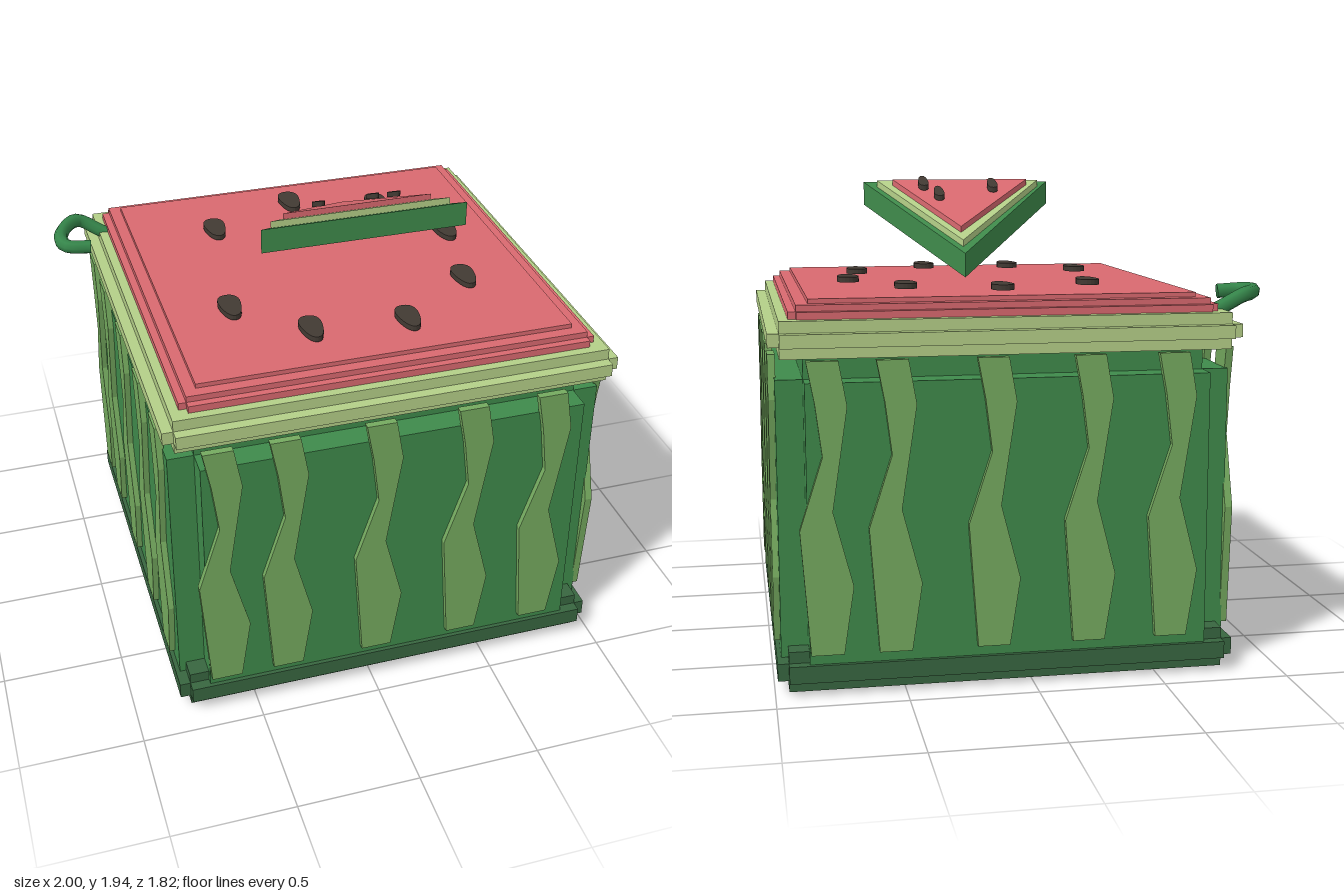
import * as THREE from 'three';

const mat = (name, color, flat = true) => {
  const m = new THREE.MeshStandardMaterial({ color });
  m.name = name;
  return m;
};

export function createModel() {
  const rindGreen = mat('rind green', 0x3f8a4b);
  const darkGreen = mat('dark base green', 0x386640);
  const stripeGreen = mat('stripe green', 0x75aa5f);
  const paleRind = mat('pale rind', 0xb4cf88);
  const fleshRed = mat('flesh red', 0xd9696f);
  const seedBrown = mat('seed brown', 0x423a33);
  const vineGreen = mat('vine green', 0x35854a);

  const root = new THREE.Group();
  root.name = 'melonCrate';
  const CX = 0.0875; // crate centre in x

  const add = (parent, name, geometry, material) => {
    const mesh = new THREE.Mesh(geometry, material);
    mesh.name = name;
    parent.add(mesh);
    return mesh;
  };

  // Box with notched edges: three crossing boxes, each long along one axis
  function notchedBox(name, half, y0, y1, inset, insetY, material) {
    const group = new THREE.Group();
    group.name = name;
    const small = 2 * (half - inset), big = 2 * half, h = y1 - y0;
    [[big, h - 2 * insetY, small], [small, h, small], [small, h - 2 * insetY, big]].forEach((s, i) =>
      add(group, name + ['Wide', 'Tall', 'Deep'][i], new THREE.BoxGeometry(...s), material));
    group.position.set(CX, (y0 + y1) / 2, 0);
    root.add(group);
  }
  notchedBox('body', 0.885, 0, 1.29, 0.105, 0.085, rindGreen);
  notchedBox('base', 0.902, 0.01, 0.168, 0.043, 0.045, darkGreen);
  notchedBox('rim', 0.912, 1.293, 1.435, 0.043, 0.045, paleRind);
  notchedBox('flesh', 0.832, 1.40, 1.487, 0.03, 0.024, fleshRed);
  add(root, 'fleshTop', new THREE.BoxGeometry(1.51, 0.04, 1.51), fleshRed).position.set(CX, 1.485, 0);

  // Zigzag stripes, the same set on each of the four sides
  const stripeShape = new THREE.Shape([
    [-0.06, 1.29], [-0.03, 1.13], [-0.005, 0.93], [-0.095, 0.65], [-0.06, 0.165],
    [0.065, 0.165], [0.105, 0.43], [0.03, 0.72], [0.09, 1.12], [0.06, 1.29],
  ].map(([x, y]) => new THREE.Vector2(x, y)));
  const stripeGeometry = new THREE.ExtrudeGeometry(stripeShape, { depth: 0.03, bevelEnabled: false });
  for (let side = 0; side < 4; side++) {
    const group = new THREE.Group();
    group.name = 'stripes' + side;
    group.position.x = CX;
    group.rotation.y = side * Math.PI / 2;
    for (const x of [-0.715, -0.455, -0.075, 0.3, 0.63])
      add(group, 'stripe', stripeGeometry, stripeGreen).position.set(x, 0, 0.879);
    root.add(group);
  }

  // Flat outline in x and z, raised from y = 0 to the given height
  const raise = (shape, height) =>
    new THREE.ExtrudeGeometry(shape, { depth: height, bevelEnabled: false, curveSegments: 6 }).rotateX(-Math.PI / 2);

  // Teardrop seed, narrow towards +z
  function seedGeometry(scale) {
    const s = new THREE.Shape();
    s.moveTo(0, 0.085 * scale);
    s.bezierCurveTo(0.035 * scale, 0.085 * scale, 0.05 * scale, 0.055 * scale, 0.044 * scale, 0.01 * scale);
    s.bezierCurveTo(0.038 * scale, -0.04 * scale, 0.025 * scale, -0.083 * scale, 0, -0.083 * scale);
    s.bezierCurveTo(-0.025 * scale, -0.083 * scale, -0.038 * scale, -0.04 * scale, -0.044 * scale, 0.01 * scale);
    s.bezierCurveTo(-0.05 * scale, 0.055 * scale, -0.035 * scale, 0.085 * scale, 0, 0.085 * scale);
    return raise(s, 0.022);
  }
  const bigSeed = seedGeometry(1);
  [[-0.315, -0.39], [0.068, -0.555], [0.437, -0.43], [0.64, -0.1], [0.567, 0.308],
    [0.235, 0.56], [-0.152, 0.53], [-0.415, 0.282]].forEach(([x, z]) =>
    add(root, 'seed', bigSeed, seedBrown).position.set(x, 1.513, z));

  // Slanted slice hovering above: layers sheared so that they climb towards +z
  const slice = new THREE.Group();
  slice.name = 'slice';
  root.add(slice);
  const shear = (geometry) => {
    const p = geometry.attributes.position;
    for (let i = 0; i < p.count; i++) p.setY(i, p.getY(i) + 1.91 + (p.getZ(i) - 0.397) * 0.475);
    geometry.computeVertexNormals();
    return geometry;
  };
  const layer = (name, left, right, front, tip, y, height, material) => {
    const s = new THREE.Shape([
      new THREE.Vector2(left, -front), new THREE.Vector2(right, -front), new THREE.Vector2(0.155, -tip)]);
    add(slice, name, shear(raise(s, height).translate(0, y, 0)), material);
  };
  layer('sliceRind', -0.315, 0.52, 0.397, -0.197, -0.1, 0.1, rindGreen);
  layer('slicePaleRind', -0.265, 0.465, 0.355, -0.145, -0.02, 0.048, paleRind);
  layer('sliceFlesh', -0.205, 0.4, 0.312, -0.085, 0, 0.053, fleshRed);
  for (const [x, z] of [[-0.033, 0.225], [0.215, 0.157], [0.272, 0.245]])
    add(slice, 'sliceSeed', shear(seedGeometry(0.5).translate(x, 0.06, z)), seedBrown);

  // Curled vine at the back corner
  const path = new THREE.CatmullRomCurve3([
    [-0.68, 1.39, -0.67], [-0.77, 1.43, -0.705], [-0.865, 1.485, -0.725], [-0.93, 1.492, -0.66],
    [-0.968, 1.492, -0.54], [-0.945, 1.487, -0.485], [-0.85, 1.48, -0.47],
  ].map((p) => new THREE.Vector3(...p)));
  add(root, 'vine', new THREE.TubeGeometry(path, 24, 0.03, 8), vineGreen);
  const cap = add(root, 'vineEnd', new THREE.CircleGeometry(0.03, 8), vineGreen);
  cap.position.copy(path.getPoint(1));
  cap.lookAt(path.getPoint(1).add(path.getTangent(1)));

  return root;
}
